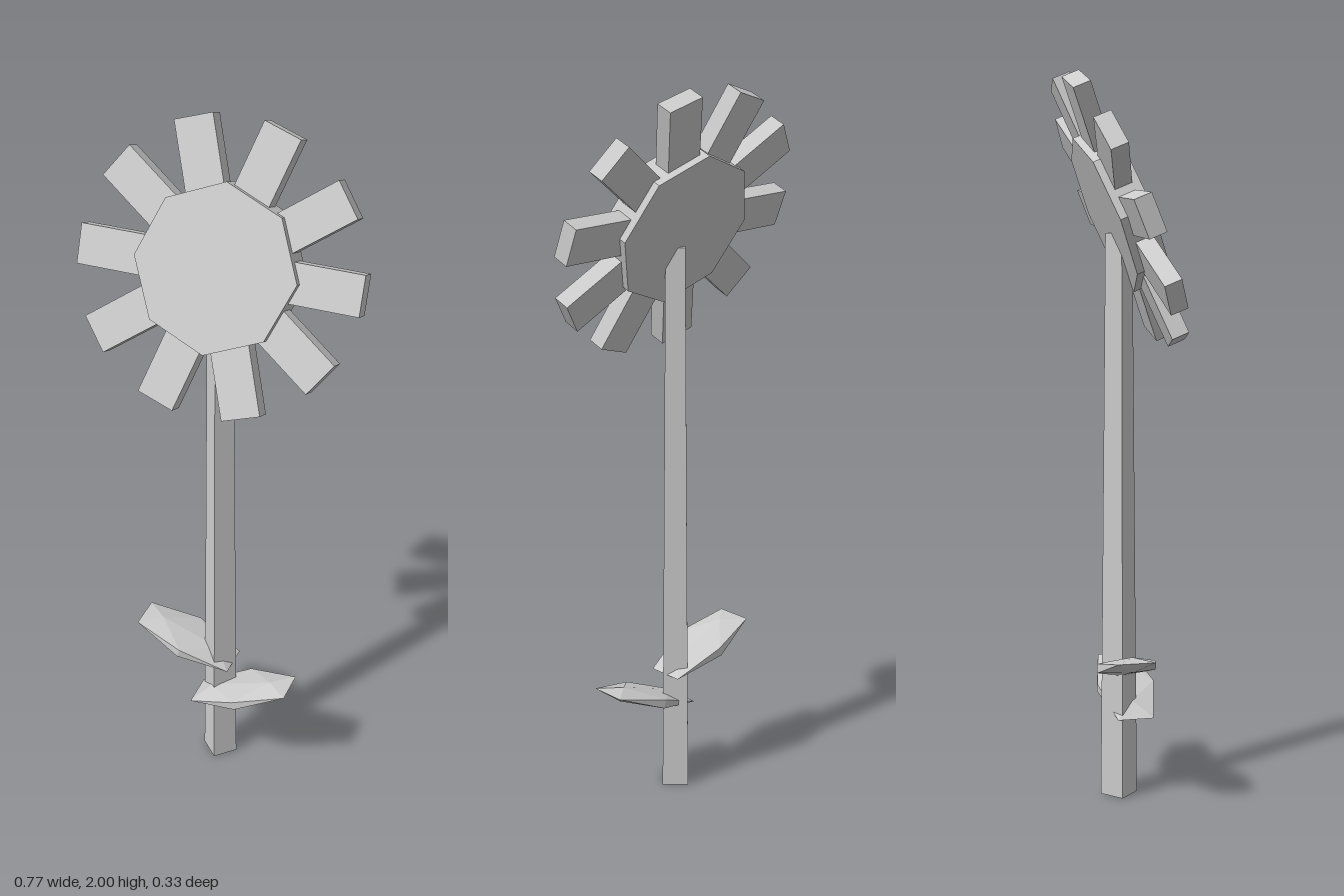
import * as THREE from 'three';

export function createModel() {
  const model = new THREE.Group();
  model.name = 'flower';
  const grey = new THREE.MeshStandardMaterial({ color: 0xcccccc });
  grey.name = 'plain grey';

  const add = (parent, name, geometry) => {
    const flat = geometry.index ? geometry.toNonIndexed() : geometry;
    flat.computeVertexNormals();
    const mesh = new THREE.Mesh(flat, grey);
    mesh.name = name;
    parent.add(mesh);
    return mesh;
  };

  // Four-sided tapering stem, edges facing front and sides
  const stemHeight = 1.575;
  add(model, 'stem', new THREE.CylinderGeometry(0.037, 0.052, stemHeight, 4).translate(0, stemHeight / 2, 0));

  // Flower head, leaning back
  const head = new THREE.Group();
  head.name = 'head';
  head.position.set(0, 1.637, 0);
  head.rotation.x = THREE.MathUtils.degToRad(-22);
  model.add(head);

  // Octagonal centre disc
  add(head, 'disc', new THREE.CylinderGeometry(0.221, 0.221, 0.09, 8).rotateX(Math.PI / 2));

  // Ten block petals around the disc
  const inner = 0.12, outer = 0.385;
  for (let i = 0; i < 10; i++) {
    const petal = add(head, 'petal', new THREE.BoxGeometry(outer - inner, 0.106, 0.049).translate((inner + outer) / 2, 0, 0));
    petal.rotation.z = (i * Math.PI) / 5;
  }

  // Two faceted leaves rising to either side
  const addLeaf = (name, x, y, z, tilt, length) => {
    const leaf = add(model, name, new THREE.IcosahedronGeometry(1, 0).scale(length, 0.024, 0.096));
    leaf.position.set(x, y, z);
    leaf.rotation.z = THREE.MathUtils.degToRad(tilt);
  };
  addLeaf('lowerLeaf', 0.085, 0.285, 0.036, 20, 0.182);
  addLeaf('upperLeaf', -0.1, 0.398, 0, -19.5, 0.176);

  return model;
}
